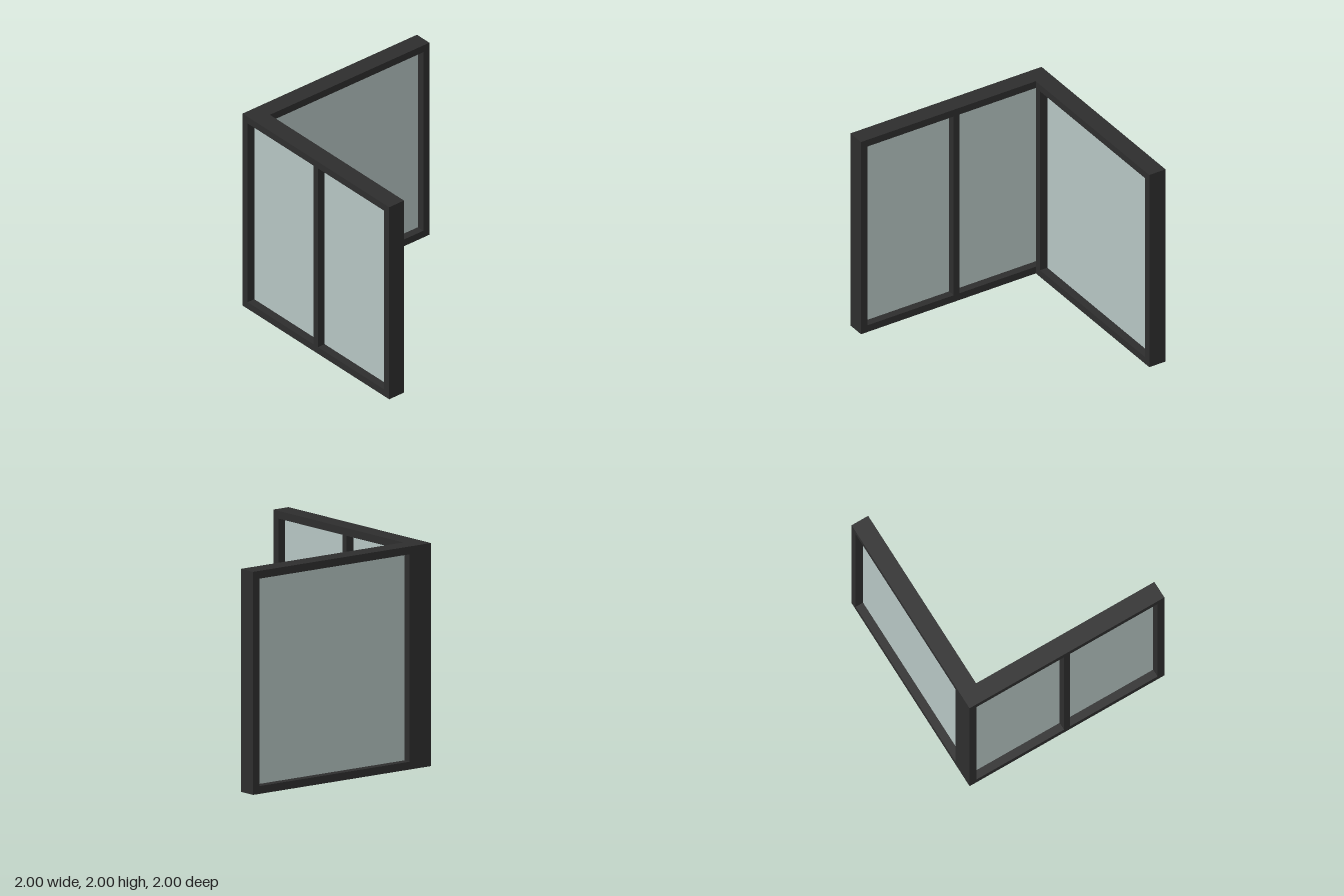
import * as THREE from 'three';

const HEIGHT = 2, DEPTH = 0.17, FRAME = 0.07, MULLION = 0.06, GLASS = 0.02;

// Rectangle outline as a path or shape
function rect(target, x0, y0, x1, y1) {
  target.moveTo(x0, y0);
  target.lineTo(x1, y0);
  target.lineTo(x1, y1);
  target.lineTo(x0, y1);
  target.closePath();
  return target;
}

// Glazed wall running along +x from 0, centred on z = 0, with equal panes
function glazedWall(name, length, panes, frameMat, glassMat) {
  const wall = new THREE.Group();
  wall.name = name;
  const paneWidth = (length - 2 * FRAME - (panes - 1) * MULLION) / panes;
  const outline = rect(new THREE.Shape(), 0, 0, length, HEIGHT);
  const paneHeight = HEIGHT - 2 * FRAME;

  for (let i = 0; i < panes; i++) {
    const x = FRAME + i * (paneWidth + MULLION);
    outline.holes.push(rect(new THREE.Path(), x, FRAME, x + paneWidth, HEIGHT - FRAME));
    const pane = new THREE.Mesh(new THREE.BoxGeometry(paneWidth, paneHeight, GLASS), glassMat);
    pane.name = 'glassPane' + (i + 1);
    pane.position.set(x + paneWidth / 2, HEIGHT / 2, 0);
    wall.add(pane);
  }

  // Frame with its openings cut through
  const geometry = new THREE.ExtrudeGeometry(outline, { depth: DEPTH, bevelEnabled: false });
  geometry.translate(0, 0, -DEPTH / 2);
  const frame = new THREE.Mesh(geometry, frameMat);
  frame.name = 'windowFrame';
  wall.add(frame);
  return wall;
}

export function createModel() {
  const model = new THREE.Group();
  model.name = 'cornerWindow';
  const frameMat = new THREE.MeshStandardMaterial({ color: 0x2e2e2e });
  frameMat.name = 'dark frame';
  const glassMat = new THREE.MeshStandardMaterial({ color: 0xb6c5c3 });
  glassMat.name = 'pale glass';

  // Two-pane front wall
  const front = glazedWall('frontWindow', 2, 2, frameMat, glassMat);
  front.position.set(-1, 0, 1 - DEPTH / 2);

  // Single-pane side wall, butting against the back of the front wall
  const side = glazedWall('sideWindow', 2 - DEPTH, 1, frameMat, glassMat);
  side.rotation.y = Math.PI / 2;
  side.position.set(-1 + DEPTH / 2, 0, 1 - DEPTH);

  model.add(front, side);
  return model;
}
